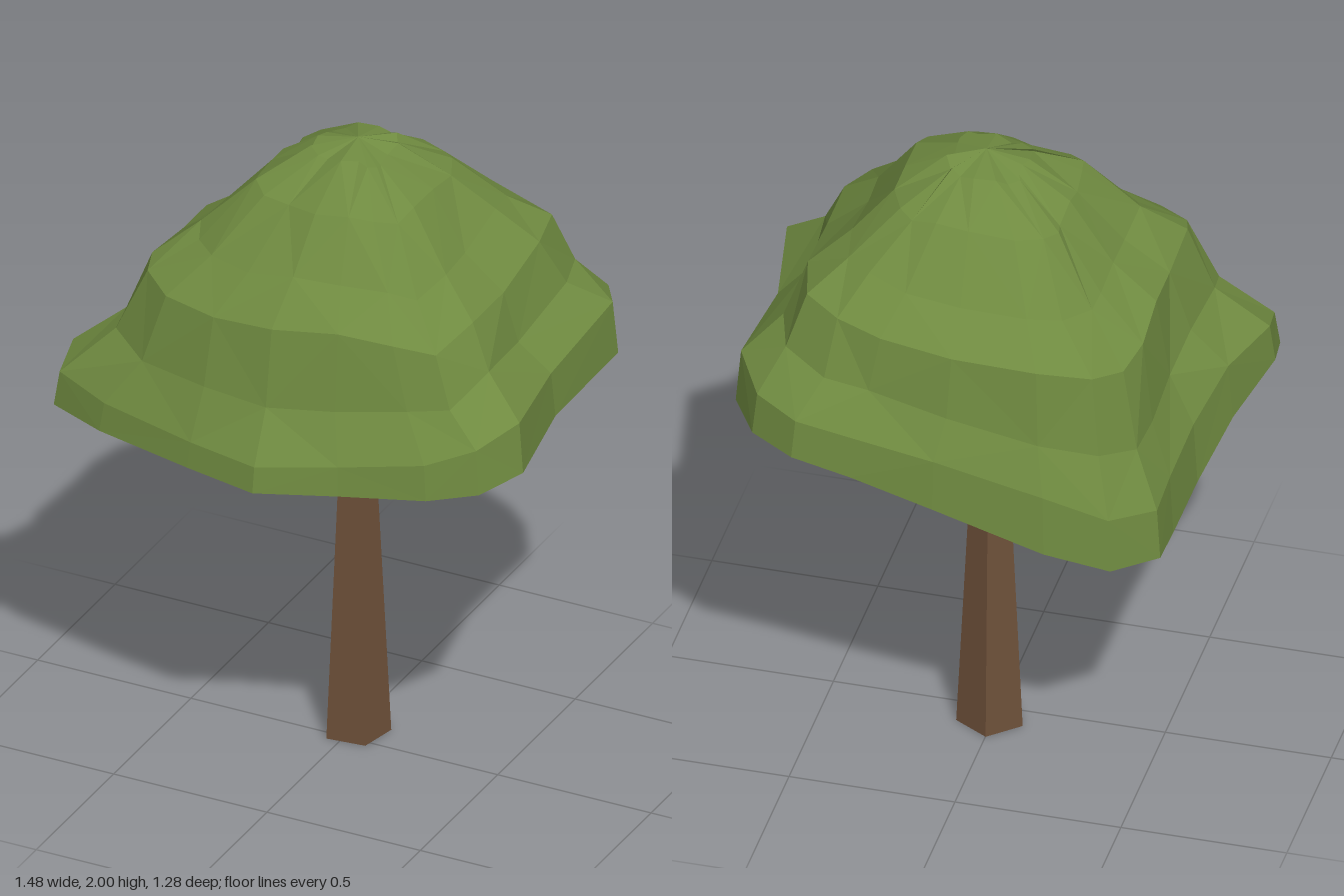
import * as THREE from 'three';

// Canopy rim, going round from +x towards +z: x, z, lower y, upper y
const RIM = [
  [.68, -.03, 1.23, 1.37], [.74, .3, 1.22, 1.38], [.66, .43, 1.19, 1.33], [.52, .5, 1.17, 1.28],
  [.26, .56, 1.15, 1.24], [.02, .64, 1.14, 1.22], [-.22, .59, 1.14, 1.22], [-.55, .51, 1.14, 1.23],
  [-.74, .43, 1.14, 1.25], [-.76, .3, 1.17, 1.29], [-.69, .08, 1.1, 1.28], [-.63, -.1, .98, 1.18],
  [-.61, -.3, .93, 1.12], [-.61, -.45, .94, 1.1], [-.49, -.57, .95, 1.12], [-.3, -.62, 1.01, 1.2],
  [.03, -.65, 1.13, 1.29], [.28, -.65, 1.2, 1.33], [.46, -.65, 1.24, 1.36], [.6, -.57, 1.25, 1.38],
  [.69, -.42, 1.25, 1.42],
];
// Shoulder of the upper tier, same columns: x, z, y
const SHOULDER = [
  [.52, 0, 1.62], [.52, .2, 1.62], [.48, .36, 1.58], [.36, .4, 1.6], [.2, .44, 1.62], [0, .47, 1.6],
  [-.2, .45, 1.58], [-.38, .4, 1.58], [-.48, .32, 1.6], [-.5, .25, 1.62], [-.5, .05, 1.6],
  [-.5, -.1, 1.6], [-.5, -.25, 1.55], [-.47, -.36, 1.52], [-.4, -.45, 1.54], [-.25, -.52, 1.58],
  [0, -.54, 1.6], [.22, -.52, 1.62], [.36, -.48, 1.64], [.47, -.41, 1.66], [.51, -.25, 1.66],
];

function seeded(seed) {
  return () => (seed = (seed * 16807) % 2147483647) / 2147483647;
}

function canopyGeometry() {
  const n = RIM.length, rand = seeded(77), mix = THREE.MathUtils.lerp;
  const wobble = (rings, amount) => rings.map((p) => p.map((v) => v + (rand() - 0.5) * amount));
  const cx = 0.03, cz = -0.03, top = 2.0;

  const apex = RIM.map(() => [cx, top, cz]);
  // Dome rings: share of the shoulder's reach, share of the height up to the top
  const dome = [[.22, .93], [.5, .68], [.76, .27]].map(([reach, rise]) =>
    wobble(SHOULDER.map(([x, z, y]) => [mix(cx, x, reach), mix(y, top, rise), mix(cz, z, reach)]), .025));
  const shoulder = SHOULDER.map(([x, z, y]) => [x, y, z]);
  const foot = wobble(RIM.map(([x, z, , hi], i) => {
    const [sx, sz, sy] = SHOULDER[i];
    return [mix(sx, x, .32), mix(sy, hi, .6), mix(sz, z, .32)];
  }), .02);
  const upperRim = RIM.map(([x, z, , hi]) => [x * .97, hi, z * .97]);
  const lowerRim = RIM.map(([x, z, lo]) => [x * .99, lo, z * .99]);
  // The underside hangs lower inside the drooping back lobe, then rises to the trunk
  const under = RIM.map(([x, z, lo]) => [x * .8, lo < 1.05 ? lo - .03 : mix(lo, 1.2, .2), z * .8]);
  const hub = RIM.map(() => [.01, 1.22, -.055]);

  const rings = [apex, ...dome, shoulder, foot, upperRim, lowerRim, under, hub];
  const pos = [];
  for (let r = 0; r < rings.length - 1; r++) {
    for (let i = 0; i < n; i++) {
      const j = (i + 1) % n;
      const a = rings[r][i], b = rings[r][j], c = rings[r + 1][i], d = rings[r + 1][j];
      if (r === 0) pos.push(...b, ...d, ...c);
      else if (r === rings.length - 2) pos.push(...a, ...b, ...c);
      else if ((r + i) % 2) pos.push(...a, ...b, ...c, ...b, ...d, ...c);
      else pos.push(...a, ...b, ...d, ...a, ...d, ...c);
    }
  }
  const geo = new THREE.BufferGeometry();
  geo.setAttribute('position', new THREE.Float32BufferAttribute(pos, 3));
  geo.computeVertexNormals();
  return geo;
}

export function createModel() {
  const leaf = new THREE.MeshStandardMaterial({ color: 0x6f8a40, flatShading: true });
  leaf.name = 'leaf green';
  const bark = new THREE.MeshStandardMaterial({ color: 0x6d5039, flatShading: true });
  bark.name = 'bark brown';

  // Tapered five-sided trunk
  const trunk = new THREE.Mesh(new THREE.CylinderGeometry(.042, .103, 1.26, 5), bark);
  trunk.name = 'trunk';
  trunk.position.set(.01, .63, -.055);
  trunk.rotation.y = THREE.MathUtils.degToRad(42);

  const canopy = new THREE.Mesh(canopyGeometry(), leaf);
  canopy.name = 'canopy';

  const tree = new THREE.Group();
  tree.name = 'tree';
  tree.add(trunk, canopy);
  return tree;
}
